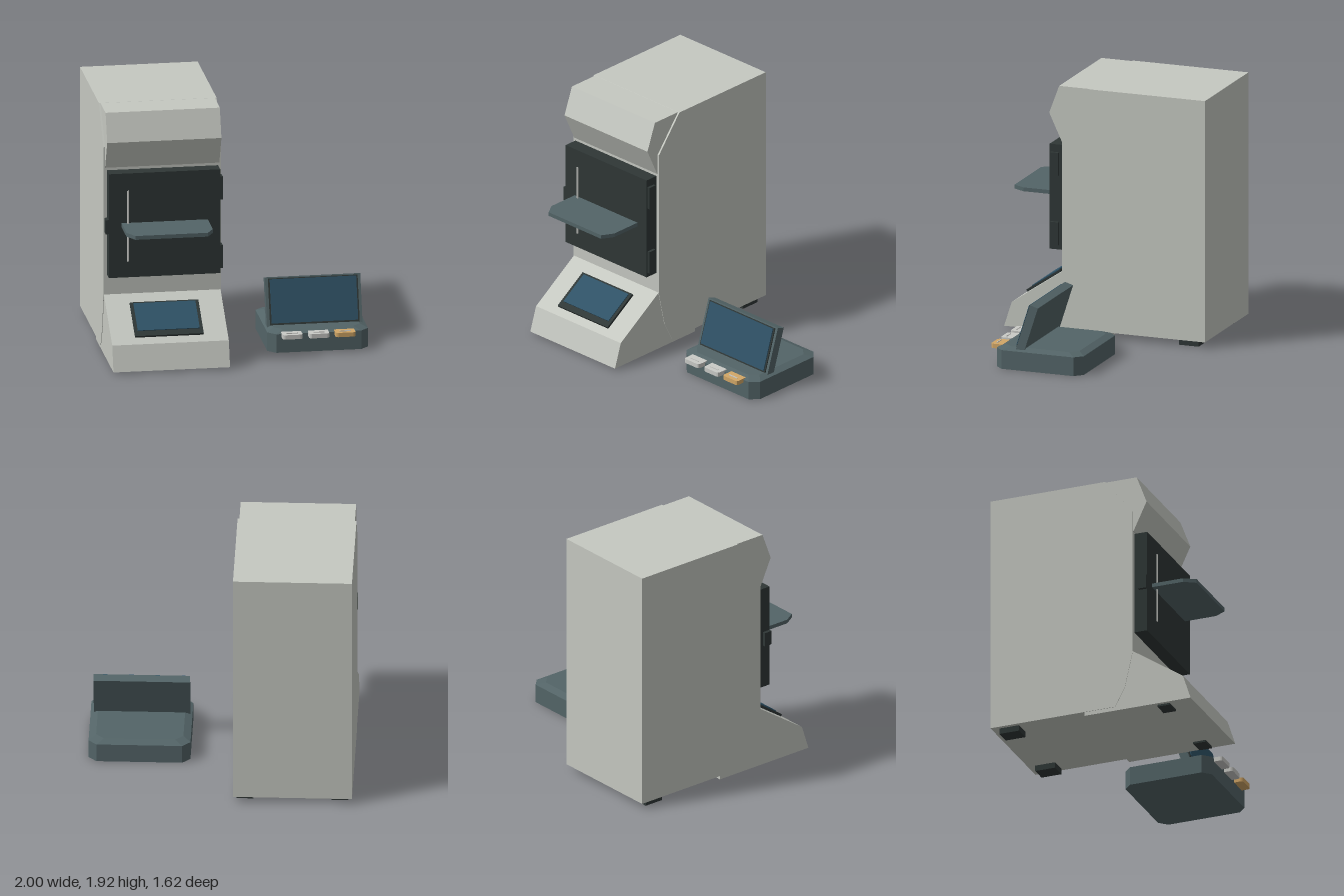
import * as THREE from 'three';
import { ConvexGeometry } from 'three/addons/geometries/ConvexGeometry.js';

const mat = (name, color) => {
  const m = new THREE.MeshStandardMaterial({ color });
  m.name = name;
  return m;
};

export function createModel() {
  const root = new THREE.Group();
  const shell = mat('shell grey', 0xc5c8c1);
  const dark = mat('charcoal', 0x2f3736);
  const slate = mat('slate', 0x536467);
  const glass = mat('screen blue', 0x2f5266);
  const silver = mat('light grey', 0xc9cac6);
  const tan = mat('tan', 0xd2a767);

  const add = (name, geo, material, parent = root) => {
    const m = new THREE.Mesh(geo, material);
    m.name = name;
    parent.add(m);
    return m;
  };
  // box from its min and max on each axis
  const box = (name, [x0, x1], [y0, y1], [z0, z1], material, parent) => {
    const m = add(name, new THREE.BoxGeometry(x1 - x0, y1 - y0, z1 - z0), material, parent);
    m.position.set((x0 + x1) / 2, (y0 + y1) / 2, (z0 + z1) / 2);
    return m;
  };
  // side profile of [z, y] points, extruded across x
  const profile = (name, pts, x0, x1, material) => {
    const shape = new THREE.Shape(pts.map(([z, y]) => new THREE.Vector2(z, y)));
    const g = new THREE.ExtrudeGeometry(shape, { depth: x1 - x0, bevelEnabled: false });
    g.rotateY(-Math.PI / 2).translate(x1, 0, 0);
    return add(name, g, material);
  };
  // plan outline of [x, z] points, extruded upwards
  const slab = (pts, y0, y1) => {
    const shape = new THREE.Shape(pts.map(([x, z]) => new THREE.Vector2(x, -z)));
    return new THREE.ExtrudeGeometry(shape, { depth: y1 - y0, bevelEnabled: false })
      .rotateX(-Math.PI / 2).translate(0, y0, 0);
  };

  // Cabinet, overhanging hood and sloped base
  profile('cabinet', [[-0.81, 0.045], [0.2, 0.045], [0.28, 0.2], [0.34, 0.47],
    [0.34, 1.64], [0.12, 1.92], [-0.81, 1.92]], -1, -0.107, shell);
  profile('hood', [[0, 1.48], [0.345, 1.48], [0.45, 1.705], [0.37, 1.919], [0, 1.919]],
    -0.988, -0.121, shell);
  profile('base', [[-0.05, 0.015], [0.81, 0.015], [0.748, 0.207], [0.338, 0.485], [-0.05, 0.485]],
    -0.996, -0.111, shell);

  // Feet
  for (const x of [-0.907, -0.196]) {
    box('frontFoot', [x - 0.063, x + 0.063], [0, 0.02], [0.53, 0.63], dark);
    box('rearFoot', [x - 0.063, x + 0.063], [0, 0.05], [-0.75, -0.59], dark);
  }

  // Door with hinges, latch, handle and shelf
  box('door', [-0.975, -0.13], [0.645, 1.46], [0.345, 0.45], dark);
  for (const y of [0.77, 1.31]) {
    box('hinge', [-0.135, -0.109], [y - 0.09, y + 0.09], [0.375, 0.44], dark);
  }
  box('latch', [-1, -0.97], [0.99, 1.1], [0.385, 0.45], dark);
  box('handle', [-0.839, -0.825], [0.775, 1.33], [0.468, 0.476], silver);
  add('shelf', slab([[-0.88, 0.44], [-0.225, 0.44], [-0.225, 0.70], [-0.275, 0.79],
    [-0.825, 0.79], [-0.88, 0.70]], 1.042, 1.072), slate);

  // Control panel lying on the slope
  const panel = new THREE.Group();
  panel.name = 'controlPanel';
  panel.position.set(-0.554, 0.338, 0.56);
  panel.rotation.x = -0.975;
  root.add(panel);
  box('panelFrame', [-0.26, 0.26], [-0.163, 0.163], [-0.02, 0.015], dark, panel);
  box('panelScreen', [-0.235, 0.235], [-0.115, 0.148], [0.015, 0.022], glass, panel);

  // Desk unit: octagonal body with a bevelled top
  const ring = (y, d) => {
    const hx = 0.3825 - d, hz = 0.35 - d, c = 0.06, out = [];
    for (const sx of [-1, 1]) for (const sz of [-1, 1]) {
      out.push(new THREE.Vector3(0.6175 + sx * hx, y, 0.105 + sz * (hz - c)),
        new THREE.Vector3(0.6175 + sx * (hx - c), y, 0.105 + sz * hz));
    }
    return out;
  };
  add('deskUnit', new ConvexGeometry([...ring(0, 0), ...ring(0.145, 0), ...ring(0.167, 0.055)]), slate);

  // Tilted display
  const display = new THREE.Group();
  display.name = 'display';
  display.position.set(0.613, 0.16, 0.287);
  display.rotation.x = -0.31;
  root.add(display);
  box('displayCase', [-0.362, 0.362], [-0.02, 0.367], [-0.067, 0], slate, display);
  box('displayBezel', [-0.34, 0.34], [0.005, 0.356], [0, 0.008], dark, display);
  box('displayScreen', [-0.328, 0.328], [0.018, 0.35], [0.008, 0.016], glass, display);

  // Keys along the front edge, each with a raised bar
  [[0.41, silver], [0.613, silver], [0.812, tan]].forEach(([x, m]) => {
    const r = 0.018, w = 0.076, z1 = 0.525;
    add('key', slab([[x - w, 0.43], [x + w, 0.43], [x + w, z1 - r], [x + w - r * 0.3, z1 - r * 0.3],
      [x + w - r, z1], [x - w + r, z1], [x - w + r * 0.3, z1 - r * 0.3], [x - w, z1 - r]], 0.122, 0.156), m);
    box('keyBar', [x - 0.042, x + 0.042], [0.155, 0.162], [0.484, 0.492], silver);
  });

  return root;
}
